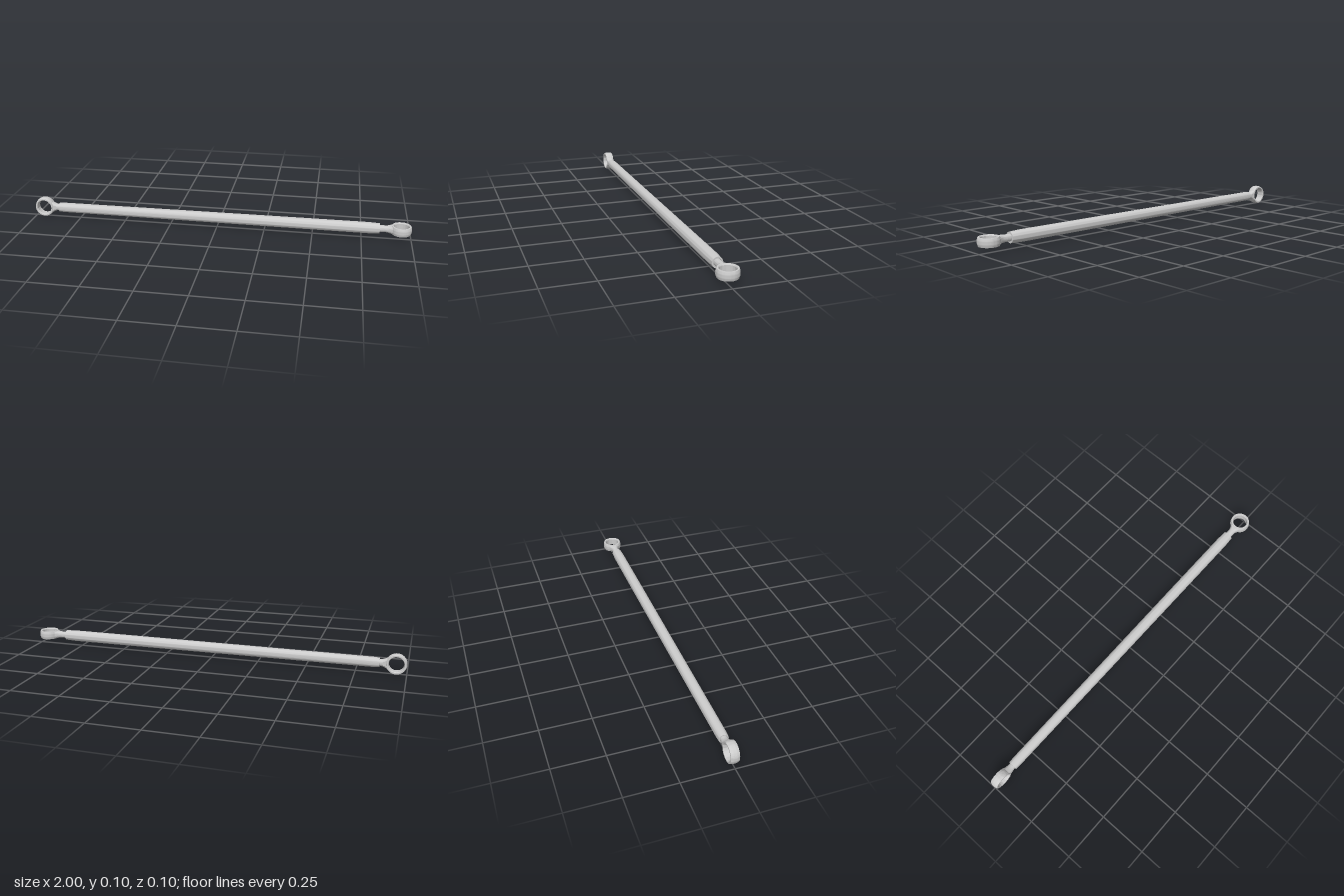
import * as THREE from 'three';
import { toCreasedNormals } from 'three/addons/utils/BufferGeometryUtils.js';

const AXIS_Y = 0.0525; // height of the rod's centre line
const EYE_X = 0.948; // distance of each eye's centre from the middle
const material = new THREE.MeshStandardMaterial({ color: 0xcccccc });

// Turned solid from [radius, height] pairs, with crisp machined edges
function turned(profile, segments = 48) {
  const points = profile.map(([r, h]) => new THREE.Vector2(r, h));
  return toCreasedNormals(new THREE.LatheGeometry(points, segments), 0.45);
}

function part(name, geometry) {
  const mesh = new THREE.Mesh(geometry, material);
  mesh.name = name;
  return mesh;
}

// Rod end pointing to +x: barrel-shaped eye with a vertical bore, flared neck
function rodEnd(name, neckStart) {
  const end = new THREE.Group();
  end.name = name;

  const outer = [];
  for (let i = 0; i <= 8; i++) {
    const t = i / 4 - 1;
    outer.push([0.0525 - 0.0045 * t * t, 0.021 * t]);
  }
  const eye = part('eye', turned([
    [0.041, -0.021], ...outer, [0.041, 0.021],
    [0.038, 0.016], [0.038, -0.016], [0.041, -0.021],
  ], 64));
  eye.position.x = EYE_X;
  end.add(eye);

  // The flare spreads sideways but stays within the eye's thickness
  const neck = turned([
    [0, neckStart], [0.0175, neckStart], [0.0175, 0.872],
    [0.019, 0.882], [0.0225, 0.892], [0.029, 0.904], [0, 0.904],
  ]);
  neck.rotateZ(-Math.PI / 2);
  const p = neck.attributes.position;
  for (let i = 0; i < p.count; i++) {
    p.setY(i, THREE.MathUtils.clamp(p.getY(i), -0.0185, 0.0185));
  }
  end.add(part('neck', toCreasedNormals(neck, 0.45)));
  return end;
}

export function createModel() {
  const model = new THREE.Group();
  model.name = 'linkRod';

  // Tube, slightly thicker towards +x, with a shallow socket at each end
  const tube = turned([
    [0, -0.845], [0.019, -0.845], [0.019, -0.866], [0.0235, -0.866],
    [0.0255, -0.84], [0.0285, 0.4], [0.029, 0.785], [0.0265, 0.84],
    [0.019, 0.84], [0.019, 0.82], [0, 0.82],
  ]);
  tube.rotateZ(-Math.PI / 2);
  model.add(part('tube', tube));

  // Eyes are turned a quarter turn from each other
  model.add(rodEnd('leftRodEnd', 0.815));
  const right = rodEnd('rightRodEnd', 0.84);
  right.rotation.set(Math.PI / 2, Math.PI, 0);
  model.add(right);

  model.children.forEach((child) => { child.position.y = AXIS_Y; });
  return model;
}
